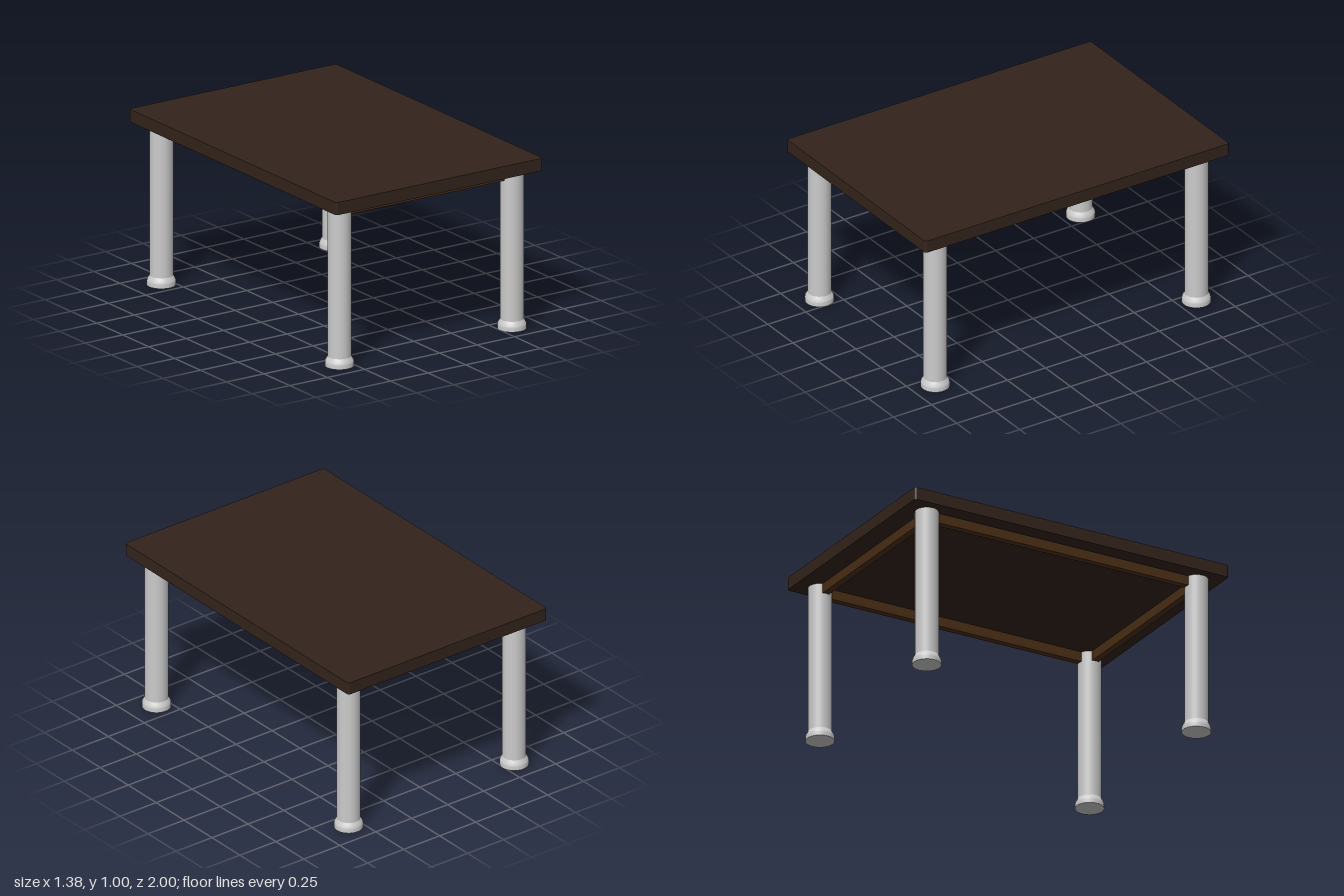
import * as THREE from 'three';

const material = (color) => new THREE.MeshStandardMaterial({ color });

// Rectangle outline with small rounded corners
function roundedRect(halfW, halfD, r) {
  const s = new THREE.Shape();
  s.absarc(halfW - r, halfD - r, r, 0, Math.PI / 2);
  s.absarc(-halfW + r, halfD - r, r, Math.PI / 2, Math.PI);
  s.absarc(-halfW + r, -halfD + r, r, Math.PI, Math.PI * 1.5);
  s.absarc(halfW - r, -halfD + r, r, Math.PI * 1.5, Math.PI * 2);
  s.closePath();
  return s;
}

export function createModel() {
  const table = new THREE.Group();
  table.name = 'table';
  const grey = material(0xcccccc);
  const darkWood = material(0x33241b);
  const railWood = material(0x4a2e15);

  const add = (name, geometry, mat, x, y, z) => {
    const mesh = new THREE.Mesh(geometry, mat);
    mesh.name = name;
    mesh.position.set(x, y, z);
    table.add(mesh);
  };

  // Table top slab
  const slab = new THREE.ExtrudeGeometry(roundedRect(0.69, 1, 0.015), {
    depth: 0.073, bevelEnabled: false, curveSegments: 4,
  });
  slab.rotateX(-Math.PI / 2);
  add('tableTop', slab, darkWood, 0, 0.925, 0);

  // Round legs with a flared foot; separate lathes keep the edges sharp
  const lathe = (points) =>
    new THREE.LatheGeometry(points.map(([r, y]) => new THREE.Vector2(r, y)), 32);
  const shaft = lathe([[0.066, 0.05], [0.066, 0.926]]);
  const foot = lathe([
    [0.081, 0], [0.081, 0.022], [0.079, 0.032], [0.072, 0.045], [0.066, 0.056],
  ]);
  const sole = new THREE.CircleGeometry(0.081, 32).rotateX(Math.PI / 2);
  const legX = { Left: 0.578, Right: -0.573 };
  const legZ = { front: 0.862, back: -0.857 };
  for (const [end, z] of Object.entries(legZ)) {
    for (const [side, x] of Object.entries(legX)) {
      add(`${end}${side}Leg`, shaft, grey, x, 0, z);
      add(`${end}${side}Foot`, foot, grey, x, 0, z);
      add(`${end}${side}Sole`, sole, grey, x, 0, z);
    }
  }

  // Rails joining the legs under the top
  const railY = 0.897, railH = 0.058, railT = 0.04;
  const endRail = new THREE.BoxGeometry(legX.Left - legX.Right - 0.08, railH, railT);
  const sideRail = new THREE.BoxGeometry(railT, railH, legZ.front - legZ.back - 0.08);
  for (const [end, z] of Object.entries(legZ)) add(`${end}Rail`, endRail, railWood, 0, railY, z);
  for (const [side, x] of Object.entries(legX)) {
    add(`${side.toLowerCase()}Rail`, sideRail, railWood, x, railY, 0);
  }

  return table;
}
